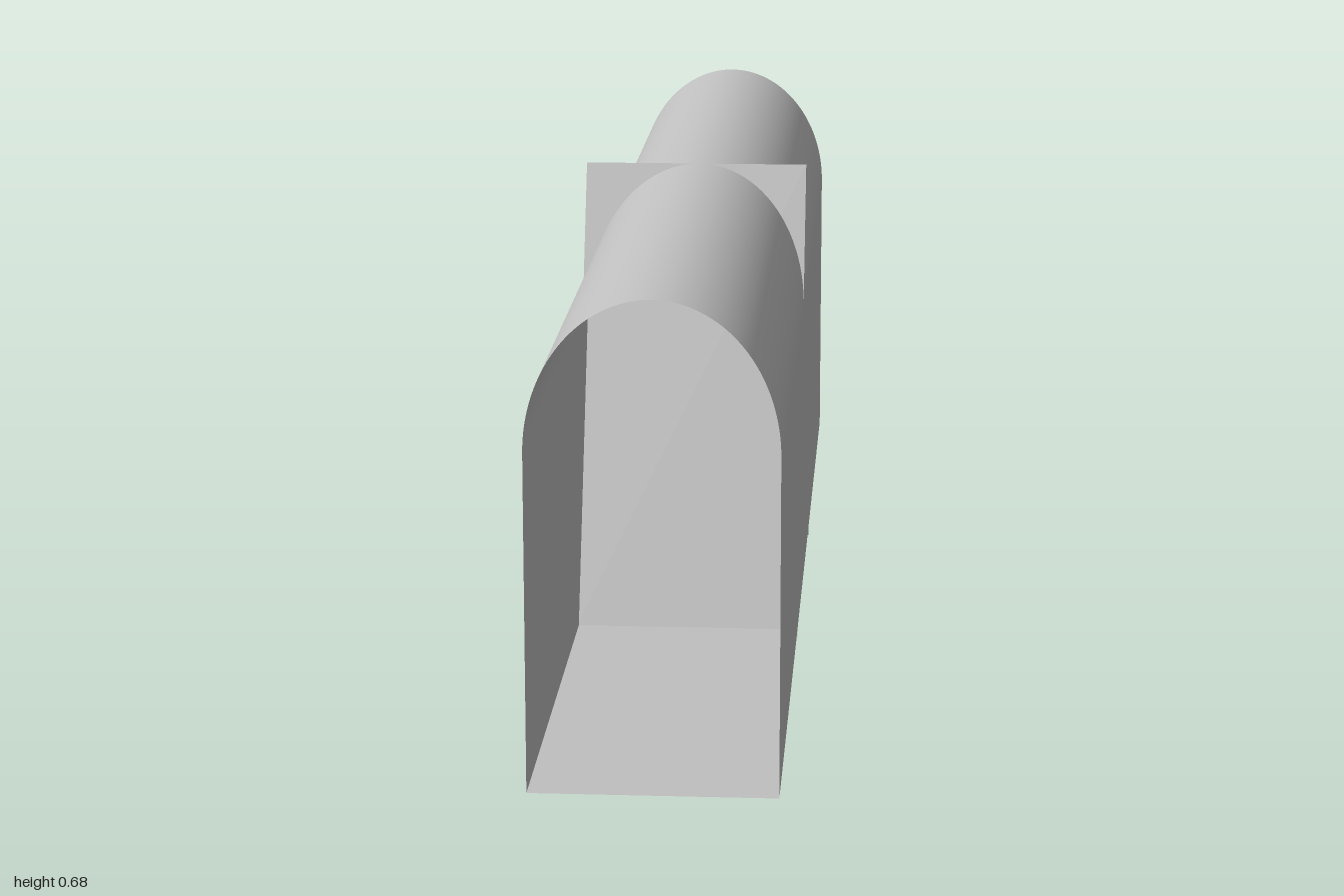
import * as THREE from 'three';

const LENGTH = 2, FLOOR = 0.012, SPRING = 0.475, TOP = 0.68;
const HALF = 0.167, CENTRE = 0.004; // half width and x centre of the tunnel
const TENT_HALF = 0.171, TENT_REACH = 0.28;

export function createModel() {
  const model = new THREE.Group();
  model.name = 'archedTunnelWithTent';
  const grey = new THREE.MeshStandardMaterial({ color: 0xc0c0c0, side: THREE.DoubleSide });
  grey.name = 'light grey';

  const add = (parent, name, geometry, x, y, z) => {
    const mesh = new THREE.Mesh(geometry, grey);
    mesh.name = name;
    mesh.position.set(x, y, z);
    parent.add(mesh);
  };

  // Open-ended tunnel: elliptical vault, two walls and a floor
  const tunnel = new THREE.Group();
  tunnel.name = 'tunnel';
  model.add(tunnel);
  const vault = new THREE.CylinderGeometry(1, 1, LENGTH, 64, 1, true, Math.PI / 2, Math.PI)
    .rotateX(Math.PI / 2)
    .scale(HALF, TOP - SPRING, 1);
  add(tunnel, 'vault', vault, CENTRE, SPRING, 0);
  for (const side of [-1, 1]) {
    const wall = new THREE.PlaneGeometry(LENGTH, SPRING - FLOOR).rotateY(side * Math.PI / 2);
    add(tunnel, side > 0 ? 'leftWall' : 'rightWall', wall, CENTRE + side * HALF, (SPRING + FLOOR) / 2, 0);
  }
  add(tunnel, 'floor', new THREE.PlaneGeometry(2 * HALF, LENGTH).rotateX(Math.PI / 2), CENTRE, FLOOR, 0);

  // Two sloping sheets crossing the tunnel and meeting at the ridge
  const tent = new THREE.Group();
  tent.name = 'tent';
  model.add(tent);
  const slope = Math.atan2(TENT_REACH, TOP);
  for (const side of [1, -1]) {
    const sheet = new THREE.PlaneGeometry(2 * TENT_HALF, Math.hypot(TENT_REACH, TOP)).rotateX(-slope);
    if (side < 0) sheet.rotateY(Math.PI);
    add(tent, side > 0 ? 'frontSheet' : 'backSheet', sheet, 0, TOP / 2, side * TENT_REACH / 2);
  }
  return model;
}
